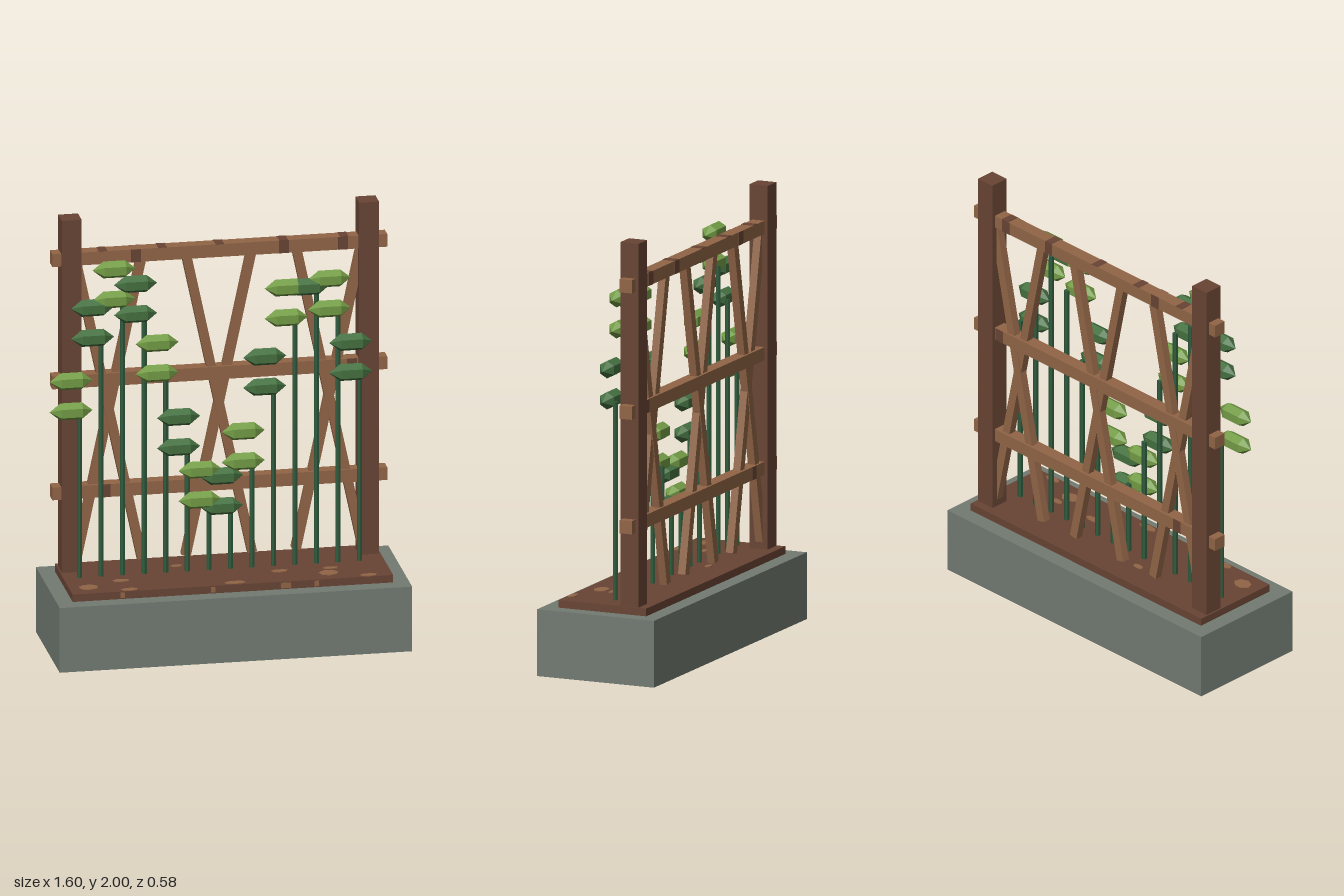
import * as THREE from 'three';

const mat = (name, color) => {
  const m = new THREE.MeshStandardMaterial({ color });
  m.name = name;
  return m;
};

export function createModel() {
  const stone = mat('stone', 0x727b72);
  const darkWood = mat('dark wood', 0x684434);
  const lightWood = mat('light wood', 0x916546);
  const stemGreen = mat('stem green', 0x2f5a3c);
  const lightLeaf = mat('light leaf', 0x739c45);
  const darkLeaf = mat('dark leaf', 0x447040);

  const root = new THREE.Group();
  root.name = 'trellisPlanter';
  const add = (name, geo, material, x, y, z, parent = root) => {
    const m = new THREE.Mesh(geo, material);
    m.name = name;
    m.position.set(x, y, z);
    parent.add(m);
    return m;
  };
  const box = (w, h, d) => new THREE.BoxGeometry(w, h, d);
  const faceted = (g) => {
    const f = g.toNonIndexed();
    f.computeVertexNormals();
    return f;
  };
  const backZ = -0.13;

  // Planter and soil slab
  add('planter', box(1.6, 0.305, 0.576), stone, 0, 0.1525, 0);
  add('soil', box(1.455, 0.035, 0.432), darkWood, 0, 0.3225, 0);

  // Pale patches on the soil: x, z, half width, half depth
  const patch = faceted(new THREE.CylinderGeometry(1, 1, 0.004, 7));
  [[-0.64, 0.135, 0.045, 0.035], [0.45, 0.135, 0.045, 0.035], [-0.465, 0.196, 0.04, 0.018],
    [0.015, 0.19, 0.05, 0.02], [0.62, 0.196, 0.04, 0.018], [-0.2, -0.085, 0.028, 0.015],
    [-0.48, 0.07, 0.04, 0.018], [0.24, 0.07, 0.04, 0.018], [0.47, 0.07, 0.035, 0.015],
  ].forEach(([x, z, rx, rz]) => add('soilPatch', patch, lightWood, x, 0.341, z).scale.set(rx, 1, rz));
  [[-0.5, 0.02], [-0.09, 0.02], [0.24, 0.045], [0.38, 0.02]].forEach(([x, w]) =>
    add('soilEdgePatch', box(w, 0.025, 0.003), lightWood, x, 0.3225, 0.2165));

  // Trellis posts and rails
  for (const s of [-1, 1]) add('post', box(0.09, 1.67, 0.09), darkWood, s * 0.675, 1.165, backZ);
  const rails = [0.71, 1.233, 1.81];
  for (const y of rails) add('rail', box(1.52, 0.06, 0.06), lightWood, 0, y, backZ);

  // Dark grain marks on the rail faces
  const mark = (name, x, y, z, w, h, d) => add(name, box(w, h, d), darkWood, x, y, z);
  for (const x of [-0.53, -0.26, 0, 0.29, 0.565])
    mark('railTopMark', x, 1.8405, backZ, 0.038, 0.003, 0.06);
  [[-0.38, 2], [0.29, 2], [0.56, 2], [0.6, 1], [-0.52, 0]].forEach(([x, i]) => {
    for (const s of [-1, 1]) mark('railFaceMark', x, rails[i], backZ + s * 0.0305, 0.045, 0.06, 0.003);
  });

  // Three crossed pairs of lattice slats
  const low = 0.375, high = 1.8, spread = 0.3;
  const length = Math.hypot(spread, high - low);
  for (const x of [-0.5, 0, 0.5])
    for (const s of [-1, 1]) {
      const slat = add('latticeSlat', box(0.042, length, 0.036), lightWood, x, (low + high) / 2, backZ + s * 0.002);
      slat.rotation.z = s * Math.atan2(spread, high - low);
    }

  // Row of climbing stems, each with leaves stacked at its tip
  const leafGeo = new THREE.SphereGeometry(1, 6, 3);
  leafGeo.rotateZ(Math.PI / 2);
  leafGeo.scale(0.098, 0.046, 0.046);
  const leaf = faceted(leafGeo);
  const tips = [1.14, 1.48, 1.655, 1.58, 1.295, 0.94, 0.685, 0.65, 0.855, 1.2, 1.52, 1.66, 1.55, 1.245];
  tips.forEach((y, i) => {
    const x = -0.653 + i * 0.0977;
    const plant = new THREE.Group();
    plant.name = 'plant';
    root.add(plant);
    const h = y - 0.33;
    add('stem', faceted(new THREE.CylinderGeometry(0.012, 0.012, h, 6)), stemGreen, x, 0.33 + h / 2, -0.012, plant);
    const green = i % 2 ? darkLeaf : lightLeaf;
    add('lowerLeaf', leaf, green, x - 0.047, y, 0.029, plant);
    // The tallest right-hand plant carries a single leaf
    if (i !== 11) add('upperLeaf', leaf, green, x - 0.047, y + 0.142, 0.029, plant);
  });

  return root;
}
